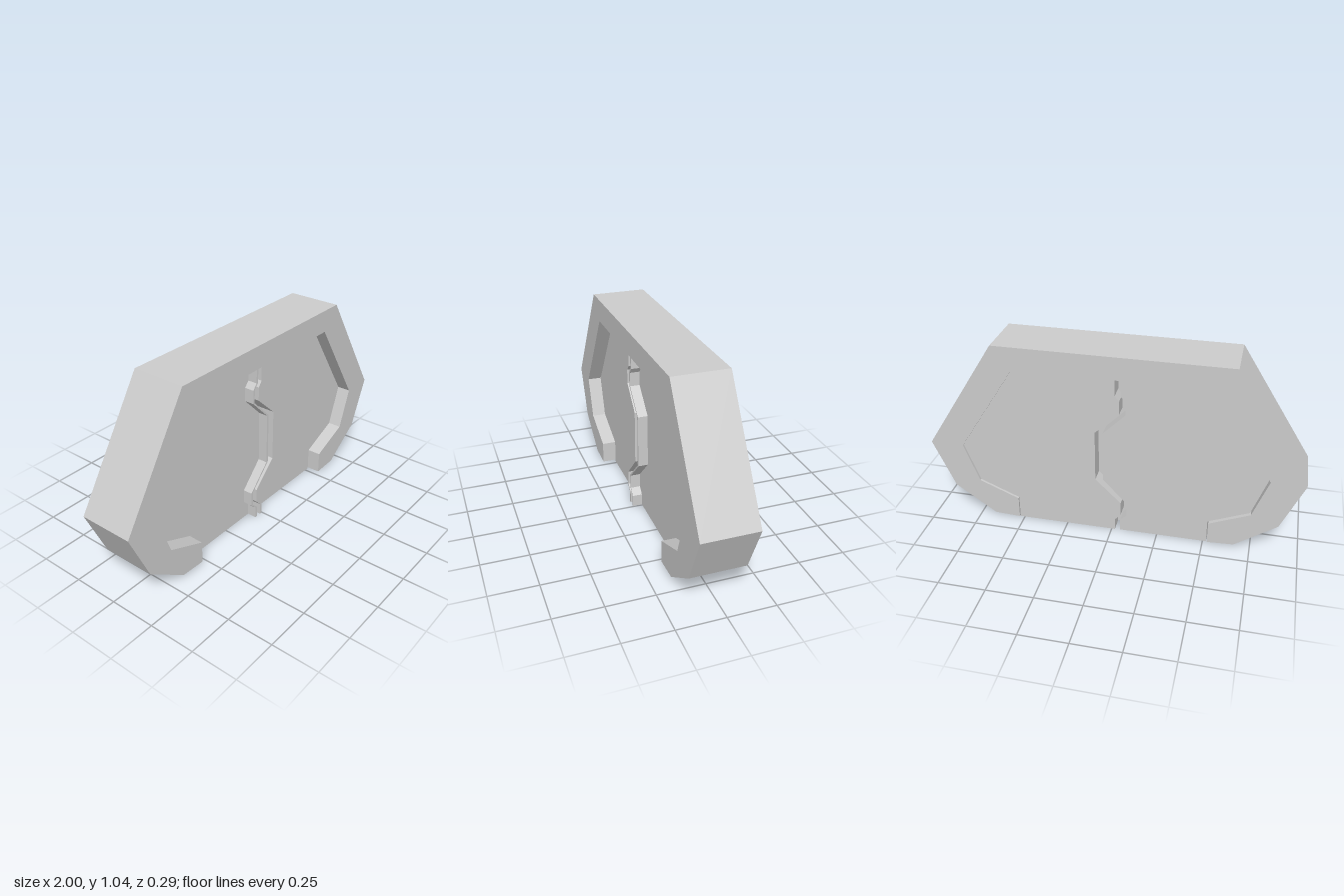
import * as THREE from 'three';

const material = new THREE.MeshStandardMaterial({ color: 0xcccccc, flatShading: true });

// Extrude an outline in the xy plane between two z positions
function slab(name, points, zBack, zFront) {
  const shape = new THREE.Shape(points.map(([x, y]) => new THREE.Vector2(x, y)));
  const geometry = new THREE.ExtrudeGeometry(shape, { depth: zFront - zBack, bevelEnabled: false });
  geometry.translate(0, 0, zBack);
  const mesh = new THREE.Mesh(geometry, material);
  mesh.name = name;
  return mesh;
}

// Full symmetric outline from its +x half, listed from bottom to top
const mirrored = (half) => [...half, ...half.map(([x, y]) => [-x, y]).reverse()];

export function createModel() {
  const group = new THREE.Group();
  group.name = 'slidingDoor';

  // Frame: an arch open at the bottom between its two feet
  const outer = [[0.525, 0.008], [0.665, 0.015], [0.885, 0.17], [1, 0.435], [0.615, 1.04]];
  const inner = [[0.525, 0.008], [0.525, 0.13], [0.74, 0.22], [0.82, 0.435], [0.51, 0.917]];
  group.add(slab('frame', [...mirrored(outer), ...mirrored(inner).reverse()], -0.145, 0.145));

  // Zigzag seam, bottom to top: outer edge of the right rib and of the left rib
  const seamY = [0, 0.065, 0.1, 0.178, 0.313, 0.6, 0.72, 0.795, 0.825, 0.91];
  const seamRight = [-0.058, -0.058, -0.095, -0.095, 0.034, 0.034, -0.085, -0.085, -0.058, -0.058];
  const seamLeft = [-0.006, -0.006, -0.038, -0.038, 0.1, 0.1, -0.028, -0.028, -0.006, -0.006];
  const path = (xs, dx) => xs.map((x, i) => [x + dx, seamY[i]]);
  const rib = 0.012;
  const rightEdge = path(seamRight, rib);
  const leftEdge = path(seamLeft, -rib);

  // Door leaves; the right one sits with a narrow gap to the frame
  const leftSide = [[0.525, 0], [0.525, 0.13], [0.74, 0.22], [0.82, 0.435], [0.51, 0.917]];
  const rightSide = [[-0.519, 0], [-0.519, 0.133], [-0.735, 0.223], [-0.811, 0.435], [-0.503, 0.91]];
  group.add(slab('leftLeaf', [...leftSide, ...[...leftEdge].reverse()], -0.132, 0.07));
  group.add(slab('rightLeaf', [...rightEdge, ...[...rightSide].reverse()], -0.13, 0.07));

  // Thin raised ribs along both leaf edges
  group.add(slab('rightRib', [...rightEdge, ...path(seamRight, 0).reverse()], 0.07, 0.122));
  group.add(slab('leftRib', [...path(seamLeft, 0), ...[...leftEdge].reverse()], 0.07, 0.122));

  // Web closing the slot between the leaves
  group.add(slab('seamWeb', [...leftEdge, ...[...rightEdge].reverse()], -0.05, 0.02));

  return group;
}
